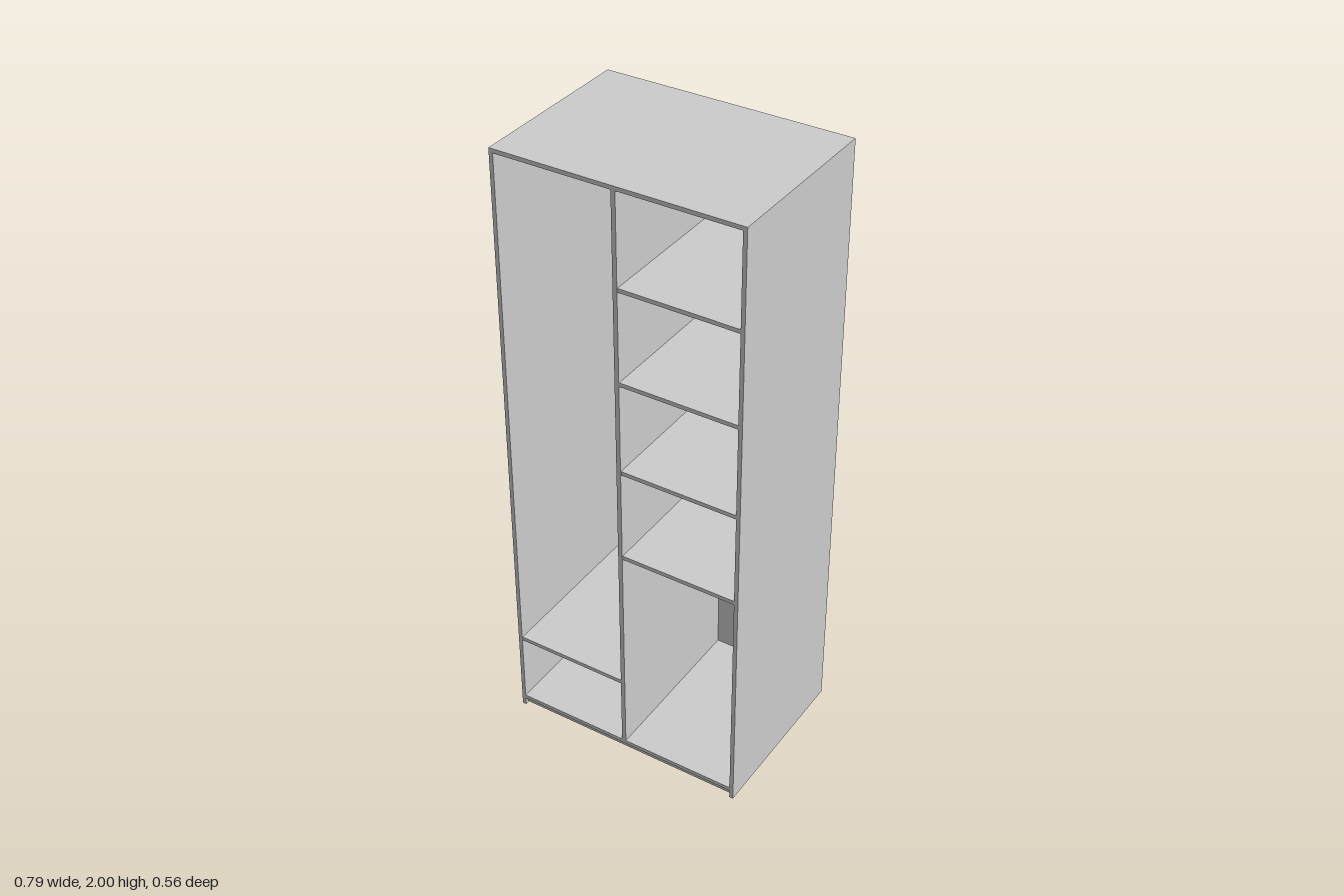
import * as THREE from 'three';

export function createModel() {
  const group = new THREE.Group();
  const material = new THREE.MeshStandardMaterial({ color: 0xcccccc });
  const W = 0.396, D = 0.282, T = 0.013; // half width, half depth, board thickness

  // Board given by its minimum and maximum on each axis
  function board(name, x0, x1, y0, y1, z0, z1) {
    const mesh = new THREE.Mesh(new THREE.BoxGeometry(x1 - x0, y1 - y0, z1 - z0), material);
    mesh.name = name;
    mesh.position.set((x0 + x1) / 2, (y0 + y1) / 2, (z0 + z1) / 2);
    group.add(mesh);
  }

  const inner = W - T, back = -D + 0.006, floorTop = 0.04;
  const divL = -0.01, divR = 0.004;

  // Carcass
  board('topPanel', -W, W, 2 - T, 2, -D, D);
  board('rightSide', -W, -inner, 0, 2 - T, -D, D);
  board('leftSide', inner, W, 0, 2 - T, -D, D);
  board('backPanel', -inner, inner, 0.025, 2 - T, -D + 0.001, back);
  board('bottomPanel', -inner, inner, floorTop - T, floorTop, back, D);
  board('divider', divL, divR, floorTop, 2 - T, back, D);

  // Low plinth rails under the bottom panel
  board('frontPlinth', -inner, inner, 0.008, floorTop - T, D - 0.022, D - 0.009);
  board('backPlinth', -inner, inner, 0.008, floorTop - T, -D + 0.009, -D + 0.022);

  // Shelves
  for (const y of [0.786, 1.094, 1.396, 1.697])
    board('shelf', divR, inner, y - T, y, back, D - 0.002);
  board('lowerShelf', -inner, divL, 0.288 - T, 0.288, back, D - 0.002);

  // Hanging rails with a round socket at each end
  function rail(x0, x1, y) {
    const assembly = new THREE.Group();
    assembly.name = 'hangingRail';
    assembly.position.y = y;
    function rod(name, a, b, radius) {
      const geometry = new THREE.CylinderGeometry(radius, radius, b - a, 32).rotateZ(Math.PI / 2);
      const mesh = new THREE.Mesh(geometry, material);
      mesh.name = name;
      mesh.position.x = (a + b) / 2;
      assembly.add(mesh);
    }
    rod('rod', x0, x1, 0.011);
    rod('socket', x0, x0 + 0.02, 0.015);
    rod('socket', x1 - 0.02, x1, 0.015);
    group.add(assembly);
  }
  rail(-inner, divL, 1.87);
  rail(divR, inner, 0.69);

  return group;
}
